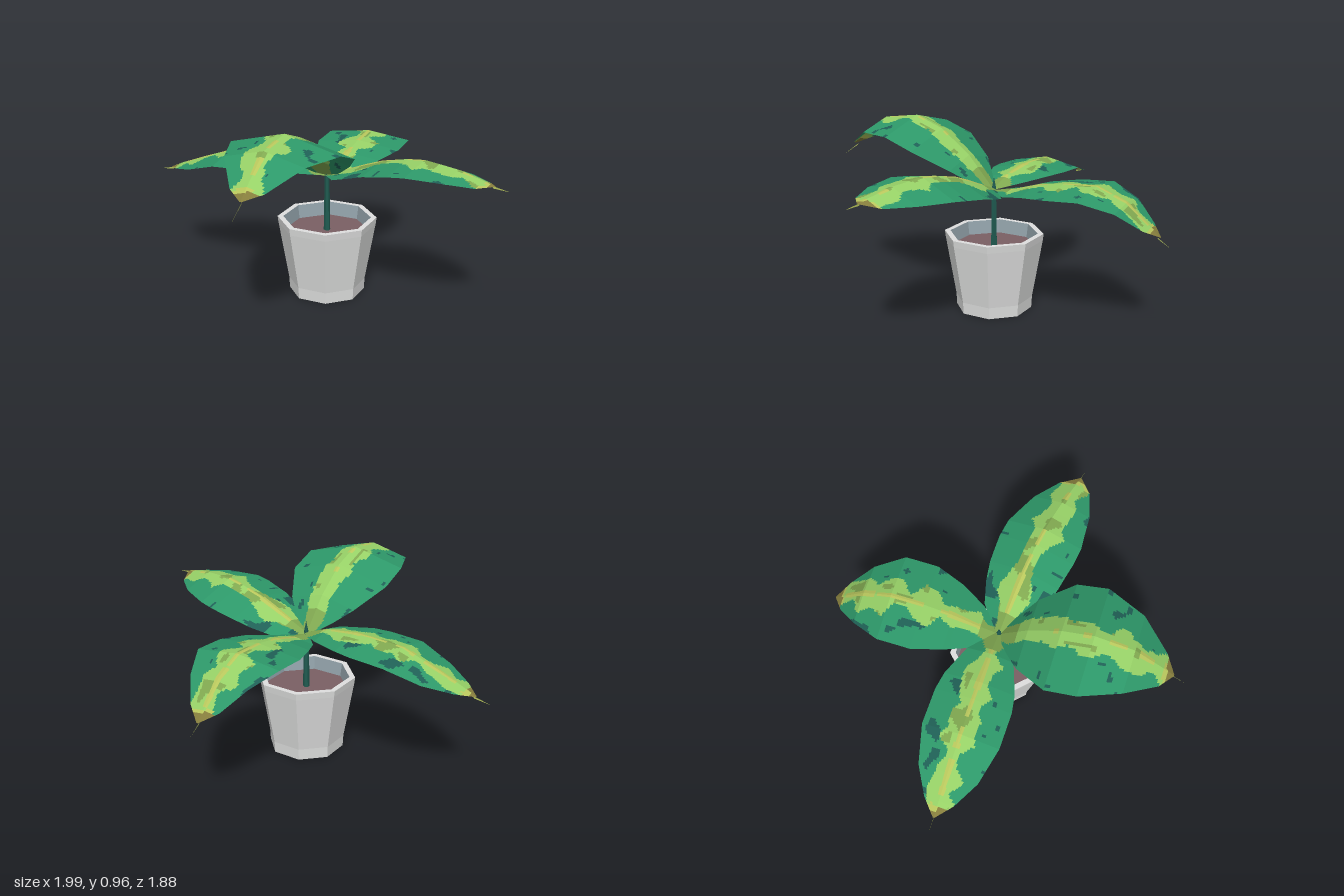
import * as THREE from 'three';

const mat = (name, color, side = THREE.FrontSide) => {
  const m = new THREE.MeshStandardMaterial({ color, side });
  m.name = name;
  return m;
};
const potGrey = mat('potGrey', 0xdedfde);
const innerGrey = mat('innerGrey', 0x93a3ab);
const soilBrown = mat('soilBrown', 0x7a6064);
const stemTeal = mat('stemTeal', 0x1f5a50);
const leafMats = [
  mat('leafGreen', 0x2d9869, THREE.DoubleSide),
  mat('leafLime', 0x96d066, THREE.DoubleSide),
  mat('leafOlive', 0x80a850, THREE.DoubleSide),
  mat('leafYellow', 0xb8c65c, THREE.DoubleSide),
  mat('leafDarkSpot', 0x1f6056, THREE.DoubleSide),
  mat('leafTipBrown', 0x857d3c, THREE.DoubleSide),
];
const CX = 0.025; // plant and pot axis

const flat = (geo) => {
  const g = geo.index ? geo.toNonIndexed() : geo;
  g.computeVertexNormals();
  return g;
};
const addMesh = (group, name, geo, material) => {
  const m = new THREE.Mesh(geo, material);
  m.name = name;
  group.add(m);
  return m;
};

// Smooth seeded noise in 0..1
const hash = (i, j, s) => {
  const v = Math.sin(i * 127.1 + j * 311.7 + s * 74.7) * 43758.5453;
  return v - Math.floor(v);
};
function noise(x, y, s) {
  const i = Math.floor(x), j = Math.floor(y);
  const f = x - i, g = y - j;
  const a = THREE.MathUtils.lerp(hash(i, j, s), hash(i + 1, j, s), f);
  const b = THREE.MathUtils.lerp(hash(i, j + 1, s), hash(i + 1, j + 1, s), f);
  return THREE.MathUtils.lerp(a, b, g);
}

// Leaf variegation: pale midrib band, dark spots towards the rim, yellow tip
function leafColour(d, x, u, tip, seed) {
  const ax = Math.abs(x);
  if (d > tip - 0.03 || (d > tip - 0.05 && u > 0.1)) return 5;
  if (d > tip - 0.055 + 0.03 * (noise(d * 30, x * 30, seed) - 0.5)) return 3;
  const band = 0.016 + 0.1 * noise(d * 17, x * 17 + 20, seed + 1) * Math.min(1, d * 4 + 0.25);
  if (ax < band) {
    if (d < 0.1) return 2;
    if (ax < 0.014 && noise(d * 14, 3, seed) > 0.4) return 3;
    return noise(d * 15, x * 20, seed + 5) > 0.76 ? 2 : 1;
  }
  if (Math.abs(u) > 0.42 && noise(d * 19, x * 19 + 40, seed + 3) > 0.86 - 0.14 * Math.abs(u)) return 4;
  return 0;
}

// Ridged blade along +z; sections are [distance, ridge height, half width].
// The blade narrows to the last section, then an upright needle runs to the given end.
function leafGeometry({ sections, needle, drop, roll = 0, bend = 0 }, seed) {
  const buckets = leafMats.map(() => []);
  const across = 40;
  const last = sections[sections.length - 1];
  const tip = last[0];
  const point = ([d, y, w], u) => {
    const x = u * w;
    return [x + bend * Math.sin(Math.PI * d / tip), y - Math.abs(x) * drop + x * roll, d];
  };
  for (let s = 0; s < sections.length - 1; s++) {
    const A = sections[s], B = sections[s + 1];
    const steps = Math.round((B[0] - A[0]) / 0.0125);
    const at = (k) => A.map((v, i) => THREE.MathUtils.lerp(v, B[i], k / steps));
    for (let k = 0; k < steps; k++) {
      const p = at(k), q = at(k + 1);
      for (let c = 0; c < across; c++) {
        const u0 = (c / across) * 2 - 1, u1 = ((c + 1) / across) * 2 - 1;
        const um = (u0 + u1) / 2;
        const id = leafColour((p[0] + q[0]) / 2, um * (p[2] + q[2]) / 2, um, tip, seed);
        const a = point(p, u0), b = point(q, u0), e = point(q, u1), f = point(p, u1);
        buckets[id].push(...a, ...b, ...e, ...a, ...e, ...f);
      }
    }
  }
  buckets[3].push(0, last[1], tip - 0.02, 0, last[1] - 0.012, tip - 0.01, 0, needle[1], needle[0]);
  const geo = new THREE.BufferGeometry();
  let start = 0;
  buckets.forEach((b, i) => {
    geo.addGroup(start, b.length / 3, i);
    start += b.length / 3;
  });
  geo.setAttribute('position', new THREE.Float32BufferAttribute(buckets.flat(), 3));
  geo.computeVertexNormals();
  return geo;
}

const leaves = [
  { name: 'frontLeaf', turn: 0, drop: 0.25, needle: [0.95, 0.7], sections: [
    [0, 0.62, 0.015], [0.07, 0.7, 0.105], [0.145, 0.785, 0.187], [0.305, 0.905, 0.28], [0.46, 0.962, 0.28],
    [0.656, 0.935, 0.2], [0.81, 0.82, 0.085], [0.868, 0.772, 0.004]] },
  { name: 'backLeaf', turn: Math.PI + 0.025, drop: 0.13, bend: -0.012, needle: [0.935, 0.455], sections: [
    [0, 0.62, 0.015], [0.11, 0.64, 0.115], [0.24, 0.68, 0.18], [0.39, 0.705, 0.23], [0.56, 0.715, 0.23],
    [0.71, 0.654, 0.16], [0.82, 0.557, 0.08], [0.88, 0.505, 0.004]] },
  { name: 'rightLeaf', turn: -Math.PI / 2 - 0.02, drop: 0.2, needle: [1.022, 0.513], sections: [
    [0, 0.63, 0.015], [0.13, 0.675, 0.12], [0.29, 0.695, 0.18], [0.38, 0.695, 0.195], [0.56, 0.685, 0.195],
    [0.74, 0.62, 0.15], [0.87, 0.57, 0.075], [0.948, 0.535, 0.004]] },
  { name: 'leftLeaf', turn: Math.PI / 2 - 0.168, drop: 0.29, roll: -0.12, bend: 0.025, needle: [0.985, 0.733], sections: [
    [0, 0.63, 0.015], [0.11, 0.675, 0.13], [0.22, 0.72, 0.17], [0.31, 0.753, 0.19], [0.45, 0.785, 0.205],
    [0.54, 0.797, 0.203], [0.72, 0.785, 0.155], [0.85, 0.76, 0.085], [0.912, 0.747, 0.004]] },
];

// Octagonal turned shape; radii are measured to the flats
const octagon = (profile) => flat(new THREE.LatheGeometry(
  profile.map(([r, y]) => new THREE.Vector2(r / Math.cos(Math.PI / 8), y)), 8, Math.PI / 8));

export function createModel() {
  const model = new THREE.Group();
  model.name = 'pottedPlant';
  const plant = new THREE.Group();
  plant.name = 'plant';
  plant.position.x = CX;
  model.add(plant);

  // Pot shell, inner wall and soil
  addMesh(plant, 'pot', octagon([[0, 0], [0.18, 0], [0.183, 0.06], [0.231, 0.365], [0.235, 0.4], [0.208, 0.4]]), potGrey);
  addMesh(plant, 'potInside', octagon([[0.208, 0.4], [0.198, 0.325]]), innerGrey);
  addMesh(plant, 'soil', octagon([[0.2, 0.33], [0, 0.33]]), soilBrown);

  // Stem with a short pointed bud
  const stem = addMesh(plant, 'stem', flat(new THREE.CylinderGeometry(0.012, 0.017, 0.31, 6)), stemTeal);
  stem.position.y = 0.485;
  const bud = addMesh(plant, 'bud', flat(new THREE.ConeGeometry(0.01, 0.05, 6)), stemTeal);
  bud.position.y = 0.665;

  // Four arching leaves
  leaves.forEach((spec, i) => {
    const leaf = addMesh(plant, spec.name, leafGeometry(spec, i * 11 + 2), leafMats);
    leaf.rotation.y = spec.turn;
  });
  return model;
}
